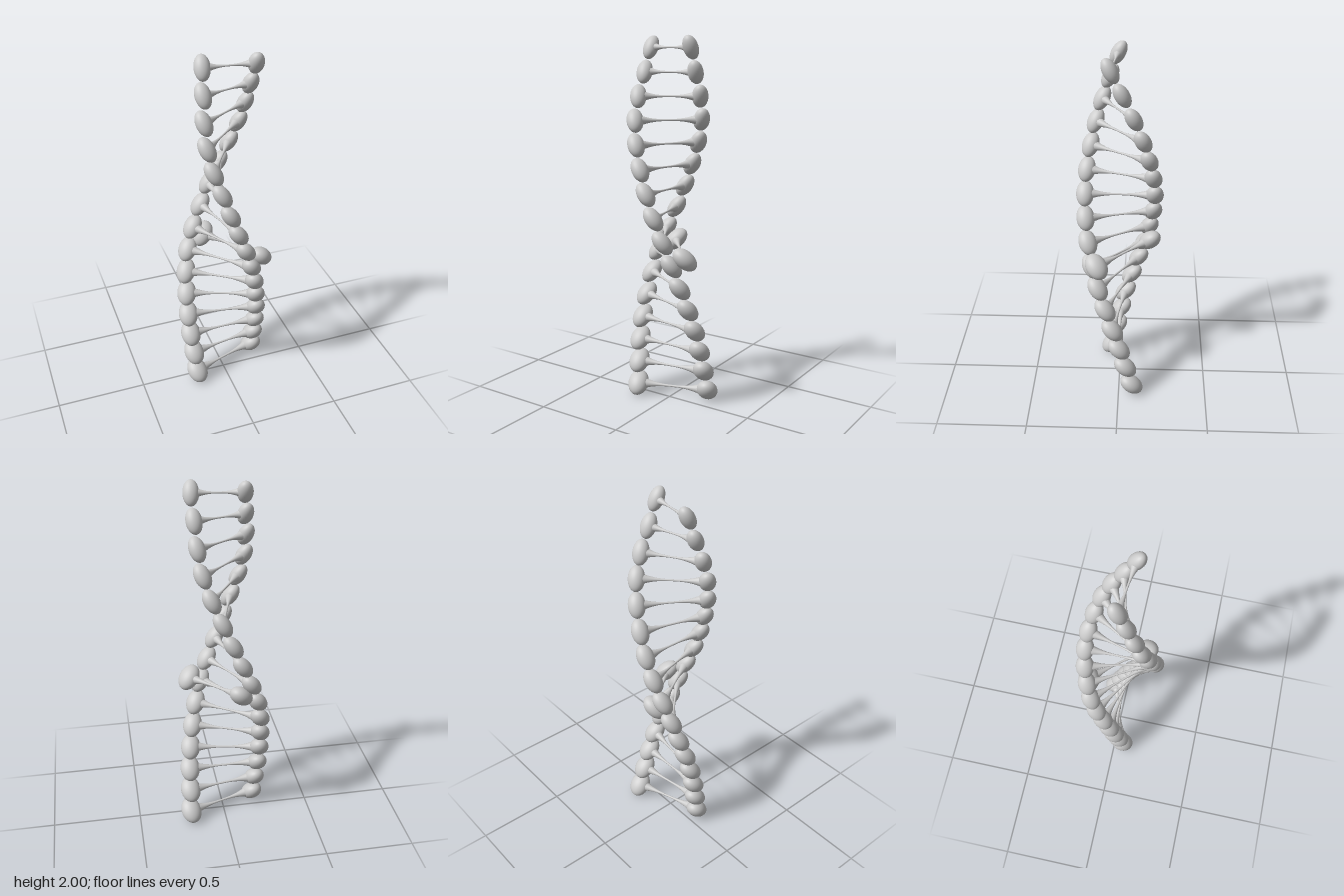
import * as THREE from 'three';

const RUNGS = 16;
const mat = new THREE.MeshStandardMaterial({ color: 0xcccccc });
const bead = new THREE.SphereGeometry(1, 32, 20);
const lerp = THREE.MathUtils.lerp;

// Plan curves (x, z) of the two strands, bottom to top
const strand = (points) =>
  new THREE.CatmullRomCurve3(points.map(([x, z]) => new THREE.Vector3(x, 0, z)), false, 'catmullrom', 0.5);
const strandA = strand([[0.203, -0.075], [0.186, 0.035], [0.11, 0.148], [-0.025, 0.186], [-0.13, 0.13], [-0.11, 0.01]]);
const strandB = strand([[-0.18, 0.05], [-0.203, -0.028], [-0.165, -0.135], [-0.02, -0.186], [0.125, -0.12], [0.155, 0.04]]);

// Bar that flares from a thin waist to both ends, lying along x
function barGeometry(half, scale) {
  const profile = [];
  for (let i = 0; i <= 24; i++) {
    const s = lerp(-0.85, 0.85, i / 24);
    profile.push(new THREE.Vector2(scale * (0.006 + 0.04 * Math.abs(s) ** 2.5), s * half));
  }
  return new THREE.LatheGeometry(profile, 20).rotateZ(-Math.PI / 2);
}

// One rung from b to a; t (0 bottom, 1 top) sets the size and lean of its beads
function makeRung(a, b, t, name) {
  const rung = new THREE.Group();
  rung.name = name;
  const d = a.clone().sub(b);
  const half = d.length() / 2;
  rung.position.copy(a).add(b).multiplyScalar(0.5);
  rung.rotation.set(0, Math.atan2(-d.z, d.x), Math.atan2(d.y, Math.hypot(d.x, d.z)));

  const bar = new THREE.Mesh(barGeometry(half, lerp(1, 0.8, t)), mat);
  bar.name = 'bar';
  rung.add(bar);

  // Oval beads lean along their strands, in opposite directions
  for (const side of [1, -1]) {
    const end = new THREE.Mesh(bead, mat);
    end.name = side > 0 ? 'beadA' : 'beadB';
    end.scale.set(lerp(0.058, 0.041, t), lerp(0.076, 0.066, t), lerp(0.048, 0.037, t));
    end.rotation.x = side * THREE.MathUtils.degToRad(lerp(48, 28, t));
    end.position.x = side * half;
    rung.add(end);
  }
  return rung;
}

export function createModel() {
  const model = new THREE.Group();
  model.name = 'doubleHelix';
  for (let i = 0; i < RUNGS; i++) {
    const t = i / (RUNGS - 1);
    const a = strandA.getPoint(t);
    const b = strandB.getPoint(t);
    a.y = b.y = lerp(0.065, 1.94, t);
    model.add(makeRung(a, b, t, `rung${i + 1}`));
  }
  // Loose rung that crosses the helix below the middle
  model.add(makeRung(new THREE.Vector3(0.175, 0.855, 0.118), new THREE.Vector3(-0.068, 0.88, -0.165), 0, 'looseRung'));
  return model;
}
